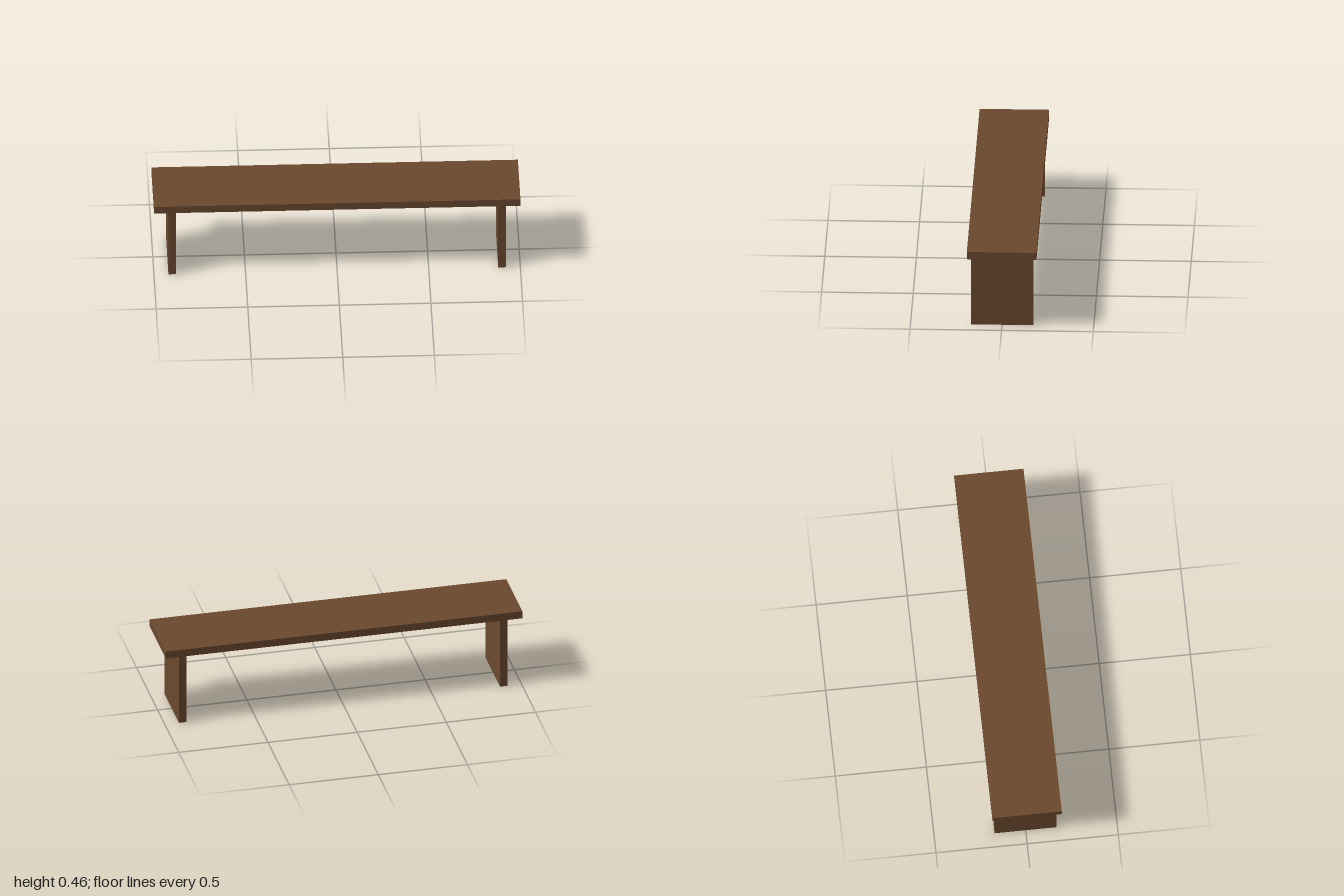
import * as THREE from 'three';

export function createModel() {
  const bench = new THREE.Group();
  bench.name = 'bench';

  const brownWood = new THREE.MeshStandardMaterial({ color: 0x6b4a2f });
  brownWood.name = 'brownWood';

  const addBoard = (name, width, height, depth, x, bottom) => {
    const board = new THREE.Mesh(new THREE.BoxGeometry(width, height, depth), brownWood);
    board.name = name;
    board.position.set(x, bottom + height / 2, 0);
    bench.add(board);
  };

  const legHeight = 0.419;

  // Long seat plank
  addBoard('seat', 2, 0.043, 0.38, 0, legHeight);

  // Slab legs set in from each end
  for (const [name, side] of [['leftLeg', 1], ['rightLeg', -1]]) {
    addBoard(name, 0.042, legHeight, 0.341, side * 0.9, 0);
  }

  return bench;
}
